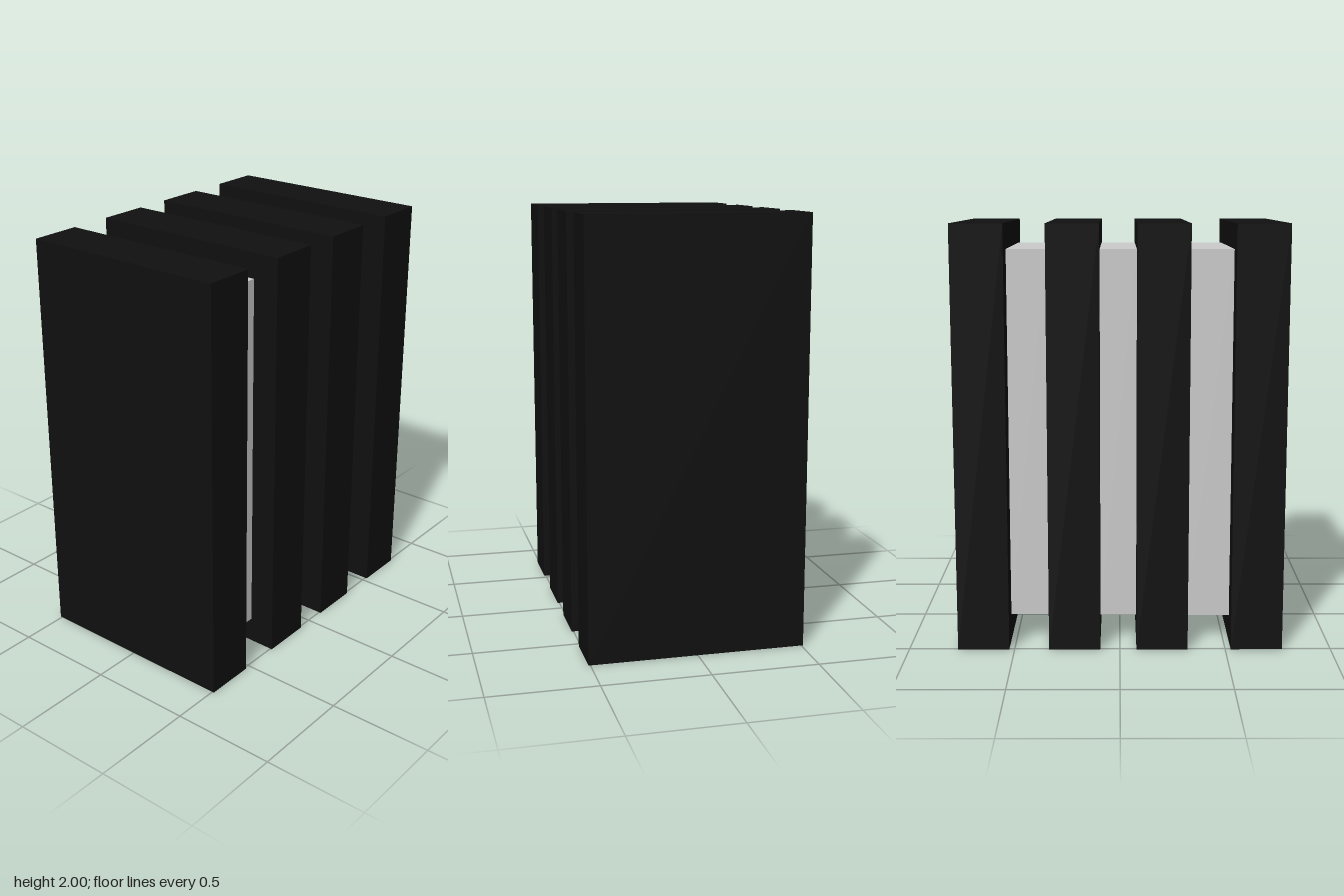
import * as THREE from 'three';

export function createModel() {
  const model = new THREE.Group();
  const black = new THREE.MeshStandardMaterial({ color: 0x101010 });
  const grey = new THREE.MeshStandardMaterial({ color: 0xcccccc });

  function addBox(name, material, x0, x1, y0, y1, depth) {
    const mesh = new THREE.Mesh(new THREE.BoxGeometry(x1 - x0, y1 - y0, depth), material);
    mesh.position.set((x0 + x1) / 2, (y0 + y1) / 2, 0);
    mesh.name = name;
    model.add(mesh);
  }

  // Four upright black slabs, unevenly spaced
  const half = 0.1215;
  const centres = [-0.648, -0.2, 0.215, 0.647];
  centres.forEach((x, i) => addBox(`slab${i + 1}`, black, x - half, x + half, 0, 2, 1.018));

  // Smaller grey cores filling the gaps between slabs
  const coreDepths = [0.762, 0.738, 0.728];
  coreDepths.forEach((depth, i) =>
    addBox(`core${i + 1}`, grey, centres[i] + half, centres[i + 1] - half, 0.125, 1.88, depth));

  return model;
}
